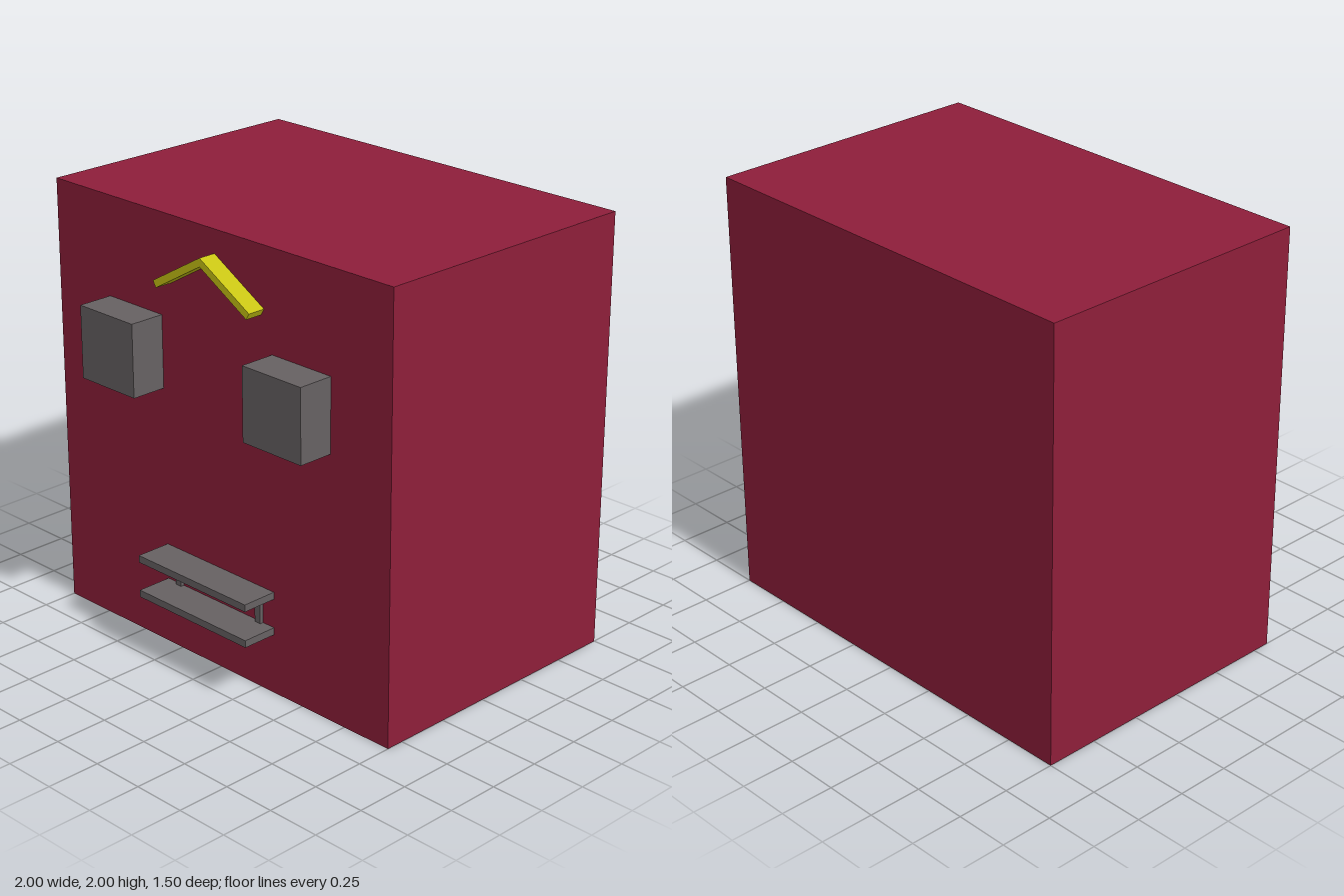
import * as THREE from 'three';

const FRONT = 0.583; // z of the front panel

export function createModel() {
  const model = new THREE.Group();
  const red = new THREE.MeshStandardMaterial({ color: 0x8e1e3a });
  const grey = new THREE.MeshStandardMaterial({ color: 0x666162 });
  const yellow = new THREE.MeshStandardMaterial({ color: 0xc8c414 });

  const add = (name, geometry, material, x, y, z) => {
    const mesh = new THREE.Mesh(geometry, material);
    mesh.name = name;
    mesh.position.set(x, y, z);
    model.add(mesh);
  };
  // box standing out from the front panel
  const addOnFront = (name, w, h, depth, x, y) =>
    add(name, new THREE.BoxGeometry(w, h, depth), grey, x, y, FRONT + depth / 2);

  // main block
  add('body', new THREE.BoxGeometry(2, 2, 0.75 + FRONT), red, 0, 1, (FRONT - 0.75) / 2);

  // square blocks and shelf posts, mirrored
  for (const [side, s] of [['left', 1], ['right', -1]]) {
    addOnFront(`${side}Block`, 0.333, 0.333, 0.167, s * 0.5, 1.378);
    addOnFront(`${side}Post`, 0.033, 0.135, 0.017, s * 0.25, 0.378);
  }

  // two shelves
  addOnFront('upperShelf', 0.667, 0.033, 0.167, 0, 0.462);
  addOnFront('lowerShelf', 0.667, 0.033, 0.167, 0, 0.295);

  // gabled canopy: two boards sloping at 30 degrees
  const chevron = new THREE.Shape([
    [0, 1.895], [-0.289, 1.729], [-0.272, 1.7], [0, 1.857], [0.272, 1.7], [0.289, 1.729],
  ].map(([x, y]) => new THREE.Vector2(x, y)));
  add('canopy', new THREE.ExtrudeGeometry(chevron, { depth: 0.083, bevelEnabled: false }),
    yellow, 0, 0, FRONT);

  return model;
}
